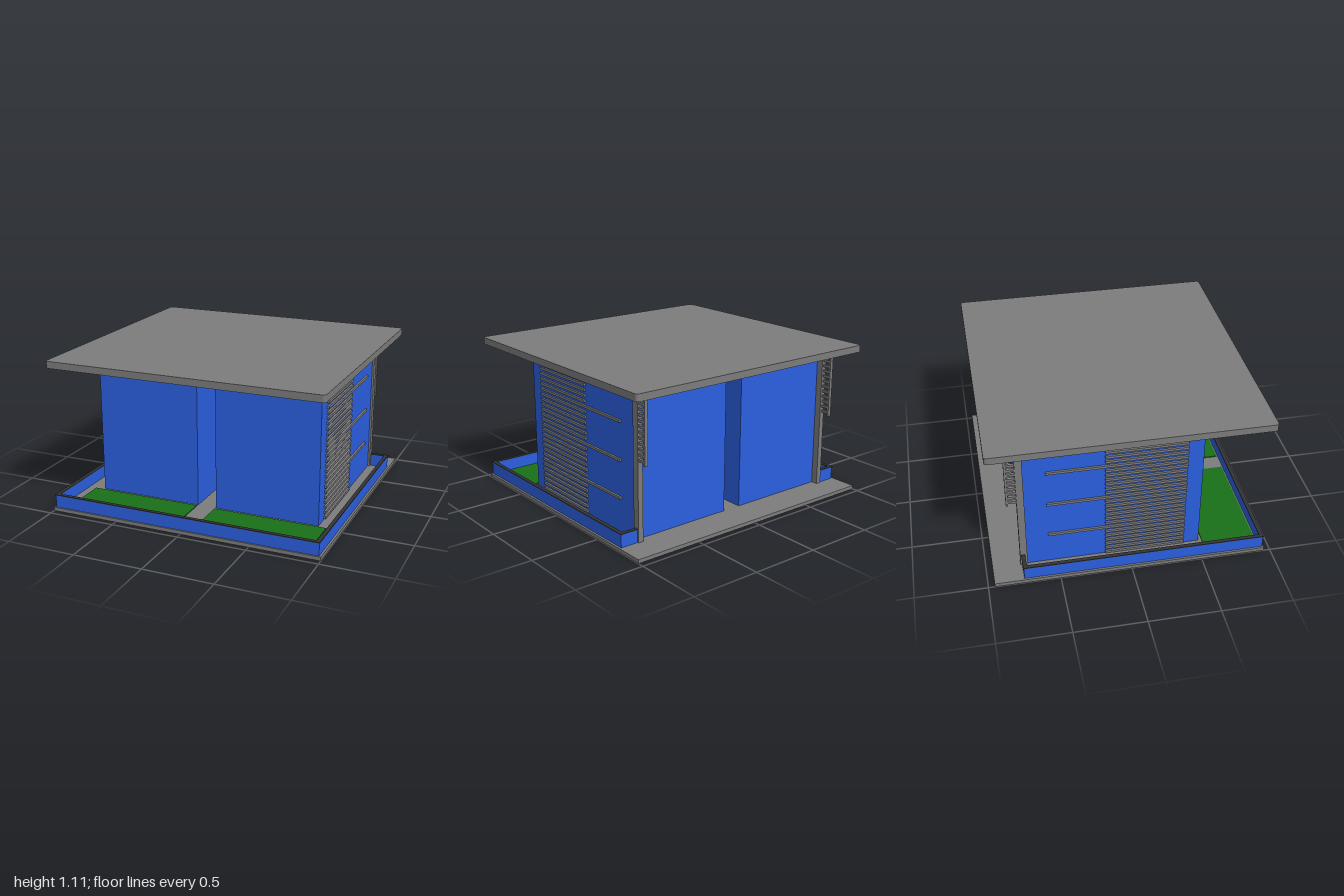
import * as THREE from 'three';

const grey = new THREE.MeshStandardMaterial({ color: 0x7c7c7c });
const blue = new THREE.MeshStandardMaterial({ color: 0x2b5fe0 });
const green = new THREE.MeshStandardMaterial({ color: 0x187018 });
const dark = new THREE.MeshStandardMaterial({ color: 0x333333 });

const FLOOR = 0.027, CEILING = 1.057, ROOF_TOP = 1.107;

// Box given by its limits along x, y and z
function box(parent, name, material, [x0, x1], [y0, y1], [z0, z1]) {
  const mesh = new THREE.Mesh(new THREE.BoxGeometry(x1 - x0, y1 - y0, z1 - z0), material);
  mesh.position.set((x0 + x1) / 2, (y0 + y1) / 2, (z0 + z1) / 2);
  mesh.name = name;
  parent.add(mesh);
}

// Same box on both sides of the building
function pair(parent, name, material, [x0, x1], y, z) {
  box(parent, name + 'Left', material, [x0, x1], y, z);
  box(parent, name + 'Right', material, [-x1, -x0], y, z);
}

function group(parent, name) {
  const g = new THREE.Group();
  g.name = name;
  parent.add(g);
  return g;
}

// Flat roof slab with slightly rounded corners
function roofSlab() {
  const w = 1, d = 0.955, r = 0.022;
  const s = new THREE.Shape();
  s.absarc(w - r, d - r, r, 0, Math.PI / 2);
  s.absarc(-w + r, d - r, r, Math.PI / 2, Math.PI);
  s.absarc(-w + r, -d + r, r, Math.PI, Math.PI * 1.5);
  s.absarc(w - r, -d + r, r, Math.PI * 1.5, Math.PI * 2);
  const geo = new THREE.ExtrudeGeometry(s, { depth: ROOF_TOP - CEILING, bevelEnabled: false, curveSegments: 5 });
  geo.rotateX(-Math.PI / 2).translate(0, CEILING, 0);
  const mesh = new THREE.Mesh(geo, grey);
  mesh.name = 'roof';
  return mesh;
}

export function createModel() {
  const model = new THREE.Group();
  model.name = 'pavilion';
  box(model, 'baseSlab', grey, [-1, 1], [0, FLOOR], [-0.955, 0.955]);
  model.add(roofSlab());

  // Two blocks either side of a through passage
  pair(model, 'block', blue, [0.07, 0.838], [FLOOR, CEILING], [-0.71, 0.515]);

  // Posts and low counter inside the passage
  const passage = group(model, 'passage');
  pair(passage, 'passagePost', grey, [0.05, 0.07], [FLOOR, CEILING], [-0.13, -0.07]);
  box(passage, 'passageCounter', grey, [-0.05, 0.05], [FLOOR, 0.3], [-0.13, -0.07]);

  // Lawns with the entrance path left between them
  pair(model, 'lawn', green, [0.07, 0.9], [FLOOR, 0.034], [0.54, 0.915]);

  // Low garden wall: front, sides and short returns at the back, with a thin cap
  const wall = group(model, 'gardenWall');
  const addWall = (name, mat, y, o) => {
    box(wall, name + 'Front', mat, [-0.985 - o, 0.985 + o], y, [0.925 - o, 0.945 + o]);
    pair(wall, name + 'Side', mat, [0.965 - o, 0.985 + o], y, [-0.73 + o, 0.925 - o]);
    pair(wall, name + 'Return', mat, [0.855, 0.985 + o], y, [-0.75 - o, -0.73 + o]);
  };
  addWall('wall', blue, [FLOOR, 0.118], 0);
  addWall('cap', dark, [0.118, 0.124], 0.004);

  // Corner columns at the back
  pair(model, 'backColumn', grey, [0.815, 0.853], [FLOOR, CEILING], [-0.76, -0.71]);

  // Horizontal slats on both sides; every seventh one runs further back
  const slats = group(model, 'sideSlats');
  const step = 0.0382;
  for (let i = 0; i < 27; i++) {
    const y = 1.037 - i * step;
    const long = i === 6 || i === 13 || i === 20;
    pair(slats, 'slat', grey, [0.838, 0.853], [y - 0.009, y + 0.009], [long ? -0.56 : -0.16, 0.405]);
  }

  // Ladder screens hung behind the columns
  const ladders = group(model, 'ladderScreens');
  pair(ladders, 'ladderRail', grey, [0.825, 0.85], [0.573, CEILING], [-0.83, -0.815]);
  for (let i = 0; i < 12; i++) {
    const y = 1.018 - i * step;
    pair(ladders, 'ladderRung', grey, [0.828, 0.847], [y - 0.009, y + 0.009], [-0.815, -0.76]);
  }
  return model;
}
